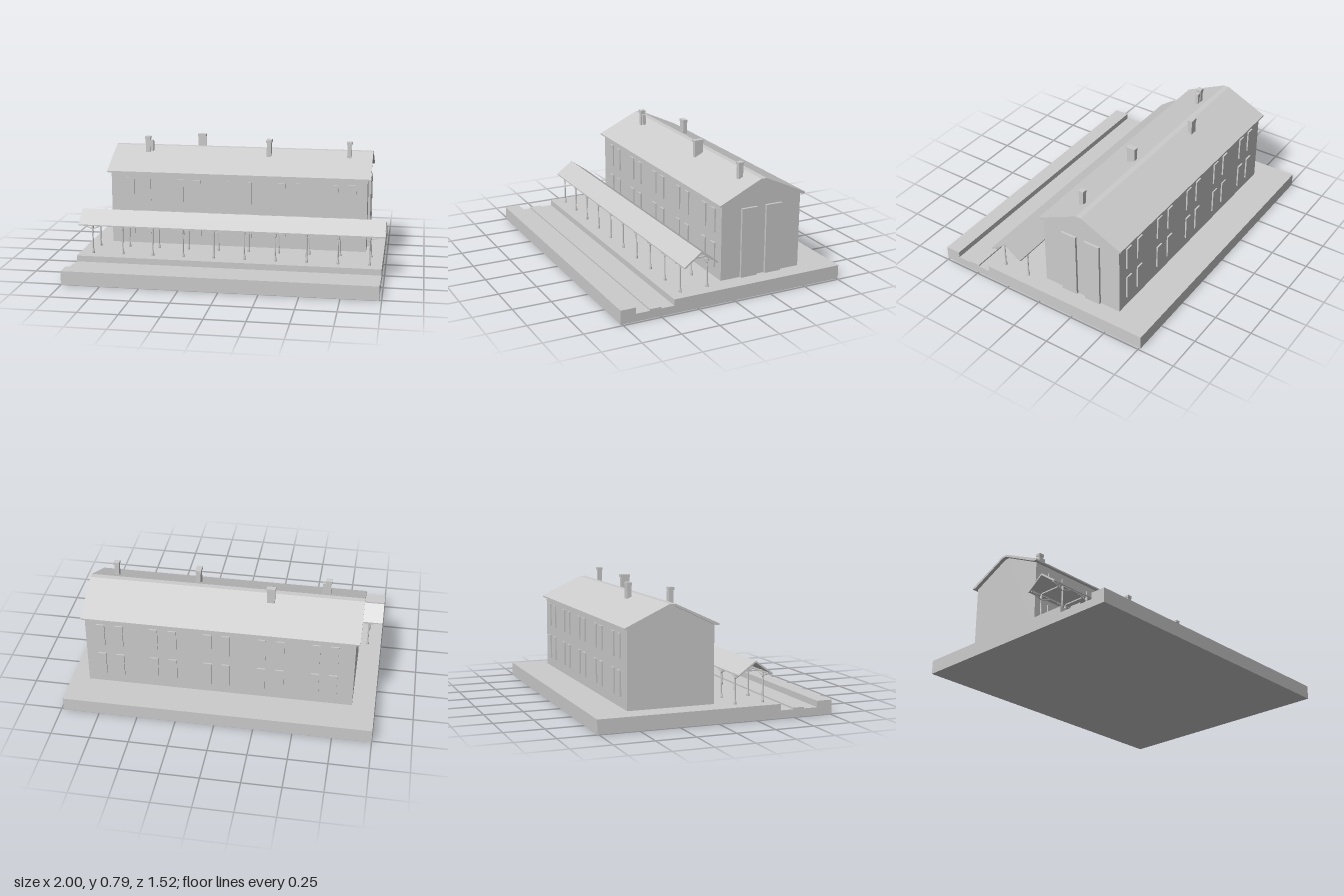
import * as THREE from 'three';

export function createModel() {
  const model = new THREE.Group();
  const grey = new THREE.MeshStandardMaterial({ color: 0xcccccc, flatShading: true });

  function add(name, geometry, parent = model) {
    const mesh = new THREE.Mesh(geometry, grey);
    mesh.name = name;
    parent.add(mesh);
    return mesh;
  }
  function group(name) {
    const g = new THREE.Group();
    g.name = name;
    model.add(g);
    return g;
  }
  // Box given by its min and max on each axis
  function box(name, [x0, x1], [y0, y1], [z0, z1], parent) {
    const mesh = add(name, new THREE.BoxGeometry(x1 - x0, y1 - y0, z1 - z0), parent);
    mesh.position.set((x0 + x1) / 2, (y0 + y1) / 2, (z0 + z1) / 2);
    return mesh;
  }
  // Outline of [z, y] points swept along x
  function sweep(name, points, x0, x1, parent) {
    const shape = new THREE.Shape(points.map(([z, y]) => new THREE.Vector2(-z, y)));
    const geo = new THREE.ExtrudeGeometry(shape, { depth: x1 - x0, bevelEnabled: false });
    geo.rotateY(Math.PI / 2).translate(x0, 0, 0);
    return add(name, geo, parent);
  }
  // Square bar between two points
  function bar(name, a, b, size, parent) {
    const from = new THREE.Vector3(...a), to = new THREE.Vector3(...b);
    const mesh = add(name, new THREE.BoxGeometry(size, size, from.distanceTo(to)), parent);
    mesh.position.copy(from).add(to).multiplyScalar(0.5);
    mesh.lookAt(to);
    return mesh;
  }

  // Ground slab with sunken track bed and raised track strip
  sweep('platformBase', [
    [-0.76, 0], [0.76, 0], [0.76, 0.09], [0.66, 0.09], [0.66, 0.05], [0.57, 0.05], [0.57, 0.06],
    [0.495, 0.06], [0.495, 0.05], [0.41, 0.05], [0.41, 0.09], [-0.76, 0.09],
  ], -1, 0.985);

  // Main building walls with gables
  const building = group('stationBuilding');
  sweep('walls', [
    [-0.527, 0.09], [0.03, 0.09], [0.03, 0.58], [-0.23, 0.703], [-0.267, 0.703], [-0.527, 0.58],
  ], -0.855, 0.867, building);

  // Thin roof shell with a flattened ridge
  sweep('roof', [
    [0.052, 0.576], [0.052, 0.586], [-0.23, 0.717], [-0.267, 0.717], [-0.55, 0.586], [-0.55, 0.576],
    [-0.527, 0.576], [-0.265, 0.703], [-0.232, 0.703], [0.03, 0.576],
  ], -0.88, 0.888, building);

  // Tall panels on one end wall
  for (const [z0, z1] of [[-0.216, -0.105], [-0.388, -0.277]])
    box('endPanel', [0.86, 0.883], [0.09, 0.54], [z0, z1], building);

  // Two storeys of paired windows, front and back
  const windows = group('windows');
  for (const x of [-0.725, -0.61, -0.385, -0.267, -0.04, 0.077, 0.303, 0.425, 0.65, 0.768])
    for (const y of [[0.155, 0.315], [0.385, 0.538]]) {
      box('frontWindow', [x - 0.026, x + 0.026], y, [0.02, 0.039], windows);
      box('backWindow', [x - 0.026, x + 0.026], y, [-0.537, -0.515], windows);
    }

  // Chimneys with a slightly wider cap
  const chimneys = group('chimneys');
  for (const [x0, x1, z0, z1] of [
    [-0.66, -0.63, -0.185, -0.155], [-0.32, -0.27, -0.333, -0.305],
    [0.178, 0.207, -0.198, -0.14], [0.718, 0.747, -0.185, -0.155],
  ]) {
    box('chimneyStack', [x0, x1], [0.64, 0.775], [z0, z1], chimneys);
    box('chimneyCap', [x0 - 0.004, x1 + 0.004], [0.772, 0.79], [z0 - 0.003, z1 + 0.003], chimneys);
  }
  box('sideFlue', [-0.632, -0.606], [0.69, 0.765], [-0.18, -0.16], chimneys);

  // Platform canopy: open gabled roof on two rows of posts
  const canopy = group('platformCanopy');
  sweep('canopyRoof', [
    [0.352, 0.278], [0.352, 0.286], [0.239, 0.367], [0.126, 0.286], [0.126, 0.278], [0.134, 0.278],
    [0.239, 0.355], [0.344, 0.278],
  ], -1, 1, canopy);

  const postProfile = [[0.009, 0.09], [0.009, 0.1], [0.005, 0.125], [0.005, 0.25], [0.0075, 0.252], [0.0075, 0.285]]
    .map(([r, y]) => new THREE.Vector2(r, y));
  const postGeometry = new THREE.LatheGeometry(postProfile, 8);
  const rows = [0.33, 0.146];
  for (const z of rows) box('eavesBeam', [-0.99, 0.99], [0.279, 0.287], [z - 0.004, z + 0.004], canopy);
  for (let i = 0; i < 10; i++) {
    const x = -0.91 + i * 0.2017;
    box('tieBeam', [x - 0.004, x + 0.004], [0.287, 0.295], [0.14, 0.336], canopy);
    for (const z of rows) {
      add('post', postGeometry, canopy).position.set(x, 0, z);
      for (const s of [-1, 1])
        bar('bracket', [x, 0.254, z], [x + s * 0.068, 0.28, z], 0.006, canopy);
    }
  }
  return model;
}
